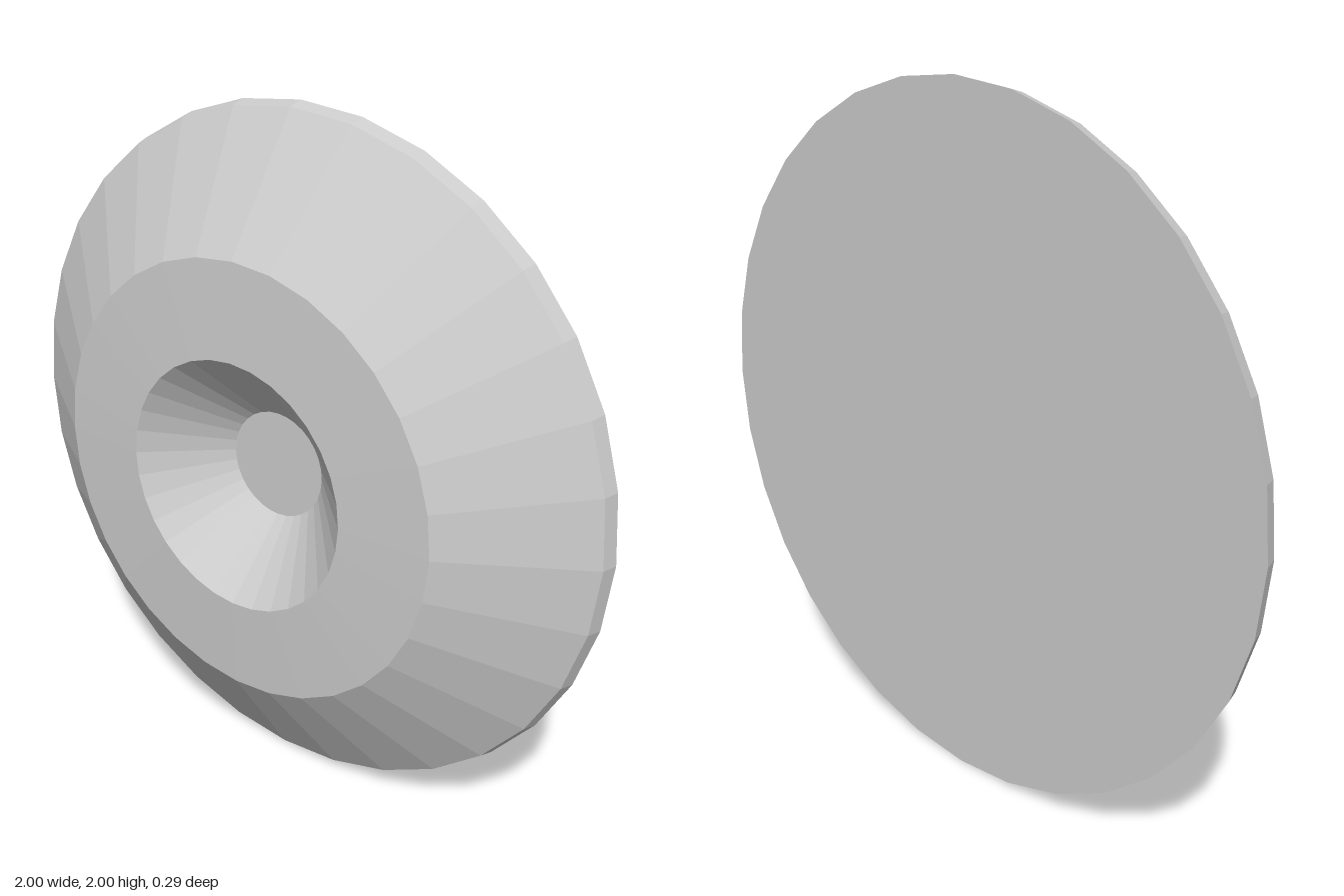
import * as THREE from 'three';

const SIDES = 32;
const material = new THREE.MeshStandardMaterial({ color: 0xcccccc, flatShading: true });

// Turns a [radius, z] profile, listed from back to front, around the z axis.
function turned(name, profile) {
  const points = profile.map(([r, z]) => new THREE.Vector2(r, z));
  const geometry = new THREE.LatheGeometry(points, SIDES).rotateX(Math.PI / 2);
  const mesh = new THREE.Mesh(geometry, material);
  mesh.name = name;
  mesh.position.y = 1;
  return mesh;
}

export function createModel() {
  const group = new THREE.Group();
  group.name = 'disc';

  // Flat back and thin, slightly tapered rim
  group.add(turned('backAndRim', [[0, -0.143], [1, -0.143], [0.988, -0.1]]));

  // Wide sloping bevel
  group.add(turned('bevel', [[0.988, -0.1], [0.637, 0.131]]));

  // Nearly flat front ring
  group.add(turned('frontRing', [[0.637, 0.131], [0.365, 0.143]]));

  // Conical recess with a flat floor
  group.add(turned('recess', [[0.365, 0.143], [0.157, -0.057], [0, -0.057]]));

  return group;
}
